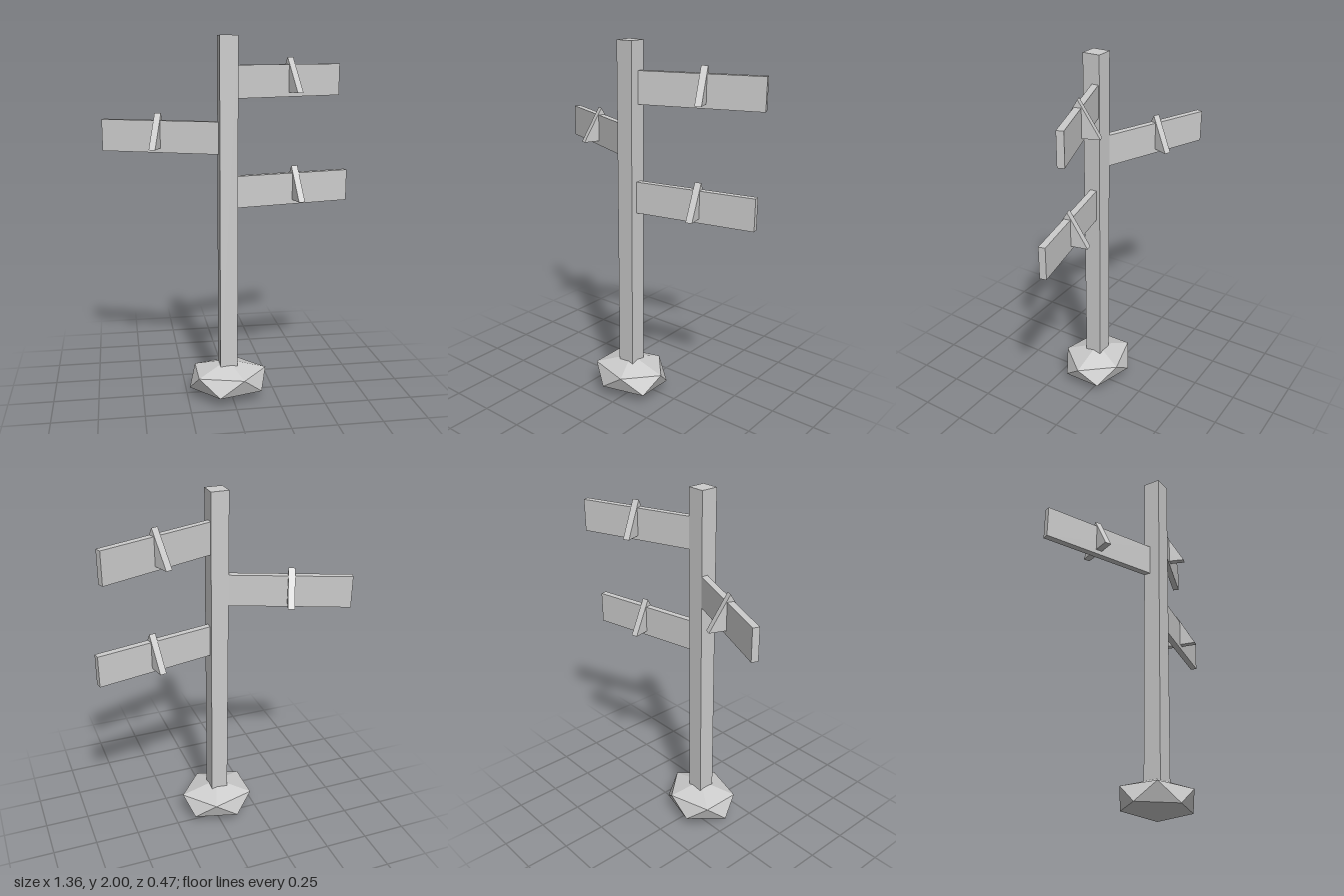
import * as THREE from 'three';

export function createModel() {
  const group = new THREE.Group();
  const grey = new THREE.MeshStandardMaterial({ color: 0xcccccc, flatShading: true });
  grey.name = 'plain grey';
  const POST_X = -0.021, POST_Z = 0.056;

  const add = (parent, name, geometry, x, y, z) => {
    const mesh = new THREE.Mesh(geometry, grey);
    mesh.name = name;
    mesh.position.set(x, y, z);
    parent.add(mesh);
    return mesh;
  };

  // Faceted base stone: an icosahedron stood on one corner, then squashed
  const stone = new THREE.IcosahedronGeometry(1, 0);
  stone.rotateX(-Math.atan((1 + Math.sqrt(5)) / 2));
  stone.rotateY(Math.PI / 2);
  stone.scale(0.243, 0.1075, 0.206);
  add(group, 'baseStone', stone, POST_X, 0.1075, POST_Z);

  // Square post
  add(group, 'post', new THREE.BoxGeometry(0.097, 1.9, 0.097), POST_X, 1.05, POST_Z);

  // Sign boards, each with a triangular wedge through its middle
  const R = 0.125;
  const wedge = new THREE.CylinderGeometry(R, R, 0.036, 3);
  wedge.rotateX(-Math.PI / 2);
  wedge.rotateY(Math.PI / 2);

  const signs = [
    // name, outer end x, outer end z, turn in degrees, board centre height
    ['upperSign', 0.643, -0.189, 19.8, 1.762],
    ['middleSign', -0.673, -0.221, 180 - 22.3, 1.468],
    ['lowerSign', 0.674, -0.088, 11.8, 1.178],
  ];
  const LENGTH = 0.68;
  for (const [name, x, z, degrees, y] of signs) {
    const sign = new THREE.Group();
    sign.name = name;
    sign.position.set(x, y, z);
    sign.rotation.y = THREE.MathUtils.degToRad(degrees);
    add(sign, 'board', new THREE.BoxGeometry(LENGTH, 0.173, 0.036), -LENGTH / 2, 0, 0);
    add(sign, 'wedge', wedge, -0.318, 0, 0);
    group.add(sign);
  }
  return group;
}
